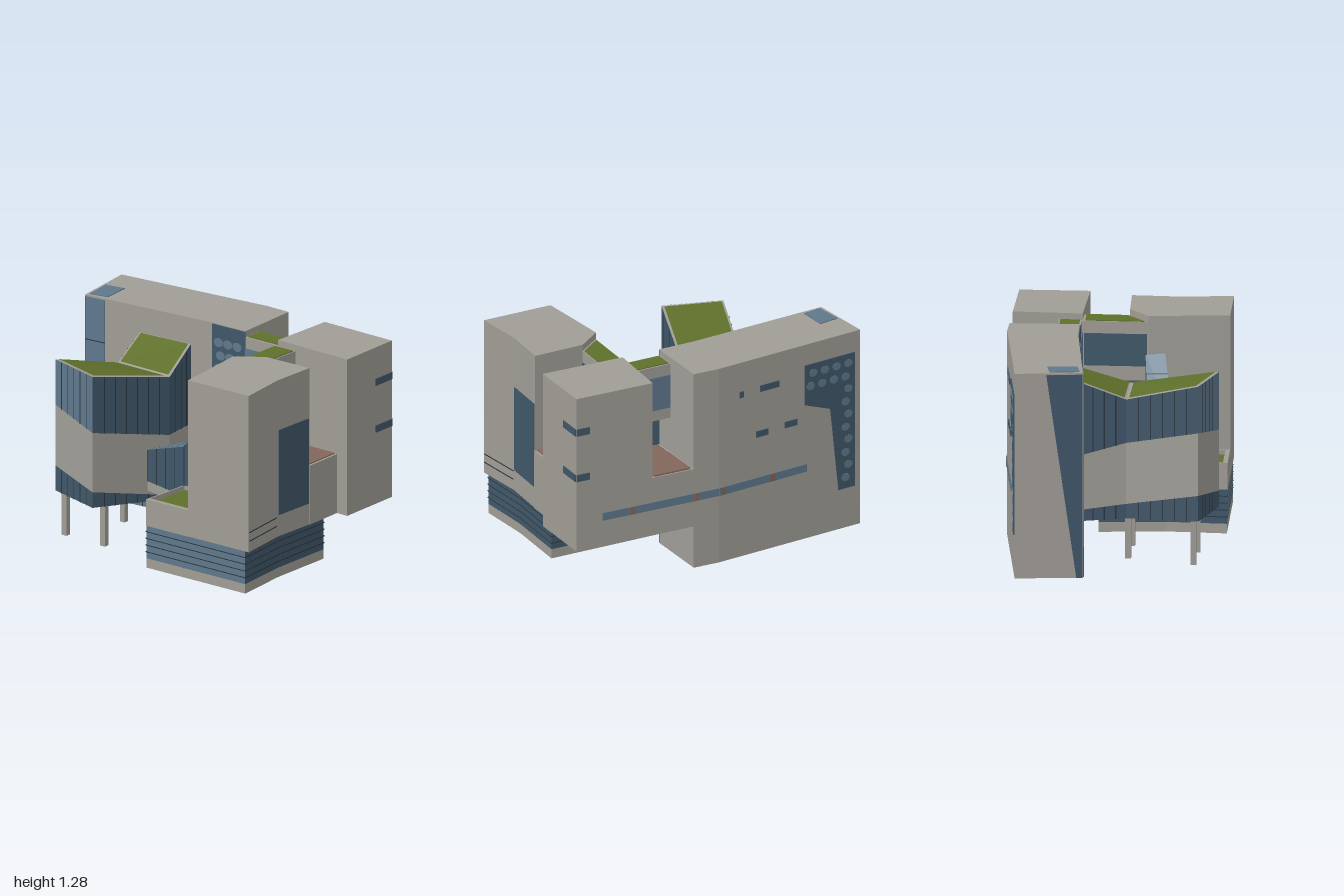
import * as THREE from 'three';

const mat = (name, color) => new THREE.MeshStandardMaterial({ name, color, side: THREE.DoubleSide });

export function createModel() {
  const root = new THREE.Group();
  root.name = 'building';
  const concrete = mat('concrete grey', 0xa09d96), light = mat('light glass', 0x5f788c);
  const dark = mat('dark glass', 0x405769), frame = mat('dark frame', 0x2b363e);
  const grass = mat('roof grass', 0x5e6f2a), clay = mat('terracotta', 0x82675a);

  const add = (name, geo, m) => {
    const mesh = new THREE.Mesh(geo, m);
    mesh.name = name;
    root.add(mesh);
    return mesh;
  };
  // Upright solid over a plan outline of [x, z] points
  const prism = (name, plan, y0, y1, m = concrete) => {
    const shape = new THREE.Shape(plan.map(([x, z]) => new THREE.Vector2(x, -z)));
    const geo = new THREE.ExtrudeGeometry(shape, { depth: y1 - y0, bevelEnabled: false });
    add(name, geo.rotateX(-Math.PI / 2).translate(0, y0, 0), m);
  };
  // Flat polygon given by 3D corners
  const face = (name, pts, m) => {
    const pos = [];
    for (let i = 1; i < pts.length - 1; i++) pos.push(...pts[0], ...pts[i], ...pts[i + 1]);
    const geo = new THREE.BufferGeometry();
    geo.setAttribute('position', new THREE.Float32BufferAttribute(pos, 3));
    geo.computeVertexNormals();
    add(name, geo, m);
  };
  // Wall from a to b whose lower and upper edges may slope
  const wall = (name, a, b, lo, hi, m) => face(name, [
    [a[0], lo[0], a[1]], [b[0], lo[1], b[1]], [b[0], hi[1], b[1]], [a[0], hi[0], a[1]]], m);
  const ringWall = (name, plan, y0, y1, m) => plan.forEach((a, i) =>
    wall(name, a, plan[(i + 1) % plan.length], [y0, y0], [y1, y1], Array.isArray(m) ? m[i] : m));
  // Thin plate on the wall a-b (left to right from outside); corners are [x or z, y]
  const panel = (name, a, b, pts, m, depth = 0.006) => {
    const dx = b[0] - a[0], dz = b[1] - a[1], L = Math.hypot(dx, dz);
    const k = Math.abs(dx) > Math.abs(dz) ? 0 : 1;
    const shape = new THREE.Shape(pts.map(([u, y]) =>
      new THREE.Vector2((u - a[k]) / (b[k] - a[k]) * L, y)));
    const mesh = add(name, new THREE.ExtrudeGeometry(shape, { depth, bevelEnabled: false }), m);
    mesh.position.set(a[0], 0, a[1]);
    mesh.rotation.y = Math.atan2(-dz, dx);
  };
  const rect = (u0, u1, y0, y1) => [[u0, y0], [u1, y0], [u1, y1], [u0, y1]];
  const blob = (u, y, r) => Array.from({ length: 12 }, (_, i) =>
    [u + r * Math.cos(i * Math.PI / 6), y + r * 0.85 * Math.sin(i * Math.PI / 6)]);
  const lerp = (a, b, t) => a + (b - a) * t;
  const mix = (a, b, t) => a.map((v, i) => lerp(v, b[i], t));
  const inset = (pts, k) => {
    const c = pts[0].map((_, j) => pts.reduce((s, p) => s + p[j], 0) / pts.length);
    return pts.map(p => mix(p, c, k));
  };

  // Long rear slab
  const f0 = [-0.96, -0.16], f1 = [-0.05, -0.232], f2 = [0.2, -0.235];
  const b0 = [-1, -0.57], b1 = [0.03, -0.665], b2 = [1, -0.64];
  prism('rearSlab', [b0, b1, [0.2, -0.66], f2, f1, f0], 0, 1.275);
  panel('cornerGlassFront', f0, f1, rect(-0.957, -0.82, 0.19, 1.265), light);
  panel('cornerGlassEnd', b0, f0, [[-0.2, 0], [-0.163, 0], [-0.163, 1.265], [-0.38, 1.265]], dark);
  prism('cornerGlassRoof', [[-0.96, -0.36], [-0.83, -0.38], [-0.82, -0.2], [-0.94, -0.18]], 1.275, 1.28, light);
  for (const y of [0.45, 0.72, 0.99]) panel('cornerMullion', f0, f1, rect(-0.957, -0.82, y, y + 0.006), frame, 0.008);

  // Street-level shopfront
  panel('shopGlassDark', f0, f1, rect(-0.95, -0.82, 0, 0.19), dark, 0.008);
  panel('shopDoor', f0, f1, rect(-0.815, -0.64, 0, 0.185), clay);
  panel('shopGlass', f0, f1, rect(-0.63, -0.05, 0, 0.185), light);
  for (let x = -0.55; x < -0.08; x += 0.08) panel('shopMullion', f0, f1, rect(x, x + 0.006, 0, 0.185), frame, 0.008);

  // Dotted glass column on the front
  panel('columnGlass', f1, f2, rect(-0.048, 0.198, 0, 1.27), dark);
  for (let i = 0; i < 11; i++)
    for (const x of [0, 0.07, 0.14])
      panel('glassDot', f1, f2, blob(x + (i % 2) * 0.015, 1.16 - i * 0.083, 0.034), light, 0.008);

  // Rear windows
  panel('rearGlass', b1, b0, [[-0.595, 1.14], [-0.96, 1.14], [-0.96, 0.26], [-0.84, 0.26], [-0.78, 0.81], [-0.595, 0.88]], dark);
  for (let i = 0; i < 10; i++)
    for (let x = -0.91; x < -0.63; x += 0.085) {
      const y = 1.08 - i * 0.083;
      if (y > 0.92 || x < -0.87) panel('rearDot', b1, b0, blob(x + (i % 2) * 0.02, y, 0.03), light, 0.008);
    }
  panel('ribbonWindow', b2, b1, rect(0.82, 0.03, 0.44, 0.49), light);
  panel('ribbonWindow', b1, b0, rect(0.03, -0.61, 0.44, 0.49), light);
  panel('ribbonDivider', b2, b1, rect(0.64, 0.605, 0.44, 0.49), clay, 0.008);
  panel('ribbonDivider', b2, b1, rect(0.2, 0.165, 0.44, 0.49), clay, 0.008);
  for (const x of [0, -0.36]) panel('ribbonDivider', b1, b0, rect(x + 0.018, x - 0.018, 0.44, 0.49), clay, 0.008);
  for (const [x0, x1, y] of [[-0.12, -0.15, 1.065], [-0.27, -0.41, 1.07], [-0.24, -0.33, 0.775], [-0.45, -0.54, 0.785]])
    panel('smallWindow', b1, b0, rect(x0, x1, y - 0.02, y + 0.02), dark);

  // Right rear block over the cut-out, with corner windows
  const r0 = [0.99, -0.21];
  prism('rightBlock', [[0.48, -0.654], b2, r0, [0.45, -0.23]], 0.272, 1.275);
  for (const y of [0.73, 1.03]) {
    panel('sideWindow', r0, b2, rect(-0.48, -0.638, y, y + 0.045), dark);
    panel('sideWindowReturn', b2, b1, rect(0.999, 0.91, y, y + 0.045), dark);
  }

  // Open terrace and high bridge between the two rear blocks
  prism('gapBase', [[0.2, -0.66], [0.48, -0.654], [0.45, -0.235], f2], 0.272, 0.65);
  prism('gapPaving', [[0.215, -0.65], [0.465, -0.645], [0.45, -0.25], [0.215, -0.25]], 0.65, 0.656, clay);
  prism('highBridge', [[0.2, -0.375], [0.465, -0.375], [0.45, -0.235], f2], 0.88, 1.235);
  prism('highBridgeGrass', [[0.21, -0.365], [0.447, -0.365], [0.44, -0.247], [0.21, -0.247]], 1.235, 1.24, grass);
  prism('bridgePaving', [[0.215, -0.645], [0.47, -0.645], [0.455, -0.38], [0.215, -0.38]], 0.656, 0.659, clay);
  panel('highBridgeGlass', f2, [0.45, -0.235], rect(0.2, 0.45, 0.95, 1.165), light);
  panel('highBridgeRearGlass', [0.465, -0.375], [0.2, -0.375], rect(0.46, 0.205, 0.95, 1.165), light);

  // Front tower
  const t1 = [0.88, 0.34], t2 = [0.9, 0.045];
  prism('frontTower', [[0.45, 0.66], [0.91, 0.66], t1, t2, [0.57, 0.05], [0.41, 0.17]], 0.4, 1.275);
  panel('towerWindow', t1, t2, rect(0.328, 0.055, 0.41, 0.955), dark);

  // Link between tower and right block, above a paved terrace
  prism('terraceBase', [[0.43, -0.23], [0.91, -0.22], [0.905, 0.05], [0.43, 0.05]], 0.272, 0.65);
  prism('terracePaving', [[0.55, -0.22], [0.895, -0.21], [0.89, 0.045], [0.55, 0.045]], 0.65, 0.656, clay);
  const l0 = [0.57, 0.05], l1 = [0.585, -0.23], l2 = [0.43, -0.23], l3 = [0.415, 0.165];
  prism('link', [l0, l1, l2, l3], 0.87, 1.235);
  prism('linkGrass', inset([l0, l1, l2, l3], 0.1), 1.235, 1.24, grass);
  panel('linkGlass', l0, l1, rect(0.045, -0.205, 0.96, 1.16), dark);
  panel('linkGlassLeft', l2, l3, rect(-0.22, 0.16, 0.96, 1.16), dark);
  prism('linkDoors', [[0.53, 0.06], [0.54, -0.23], [0.45, -0.23], [0.44, 0.14]], 0.4, 0.87, dark);
  for (const z of [0.02, -0.06, -0.14])
    panel('doorFrame', [0.53, 0.06], [0.54, -0.23], rect(z, z - 0.012, 0.65, 0.87), frame);

  // Podium: open glazed base, upper band and grass roof
  const base = [[0.13, 0.655], [0.88, 0.655], [0.86, 0.3], [0.88, -0.12], [0.13, -0.12], [0.16, 0.28]];
  ringWall('podiumPlinth', base, 0, 0.06, concrete);
  ringWall('podiumGlass', base, 0.06, 0.273, [light, dark, dark, dark, dark, dark]);
  for (const y of [0.1, 0.143, 0.186, 0.229]) ringWall('podiumRib', inset(base, -0.012), y, y + 0.006, frame);
  prism('podiumBand', [[0.45, 0.66], [0.91, 0.66], t1, [0.9, 0.05], [0.43, 0.05], [0.42, 0.17]], 0.272, 0.4);
  const lawn = [[0.13, 0.66], [0.45, 0.66], [0.42, 0.17], [0.44, -0.12], [0.13, -0.12], [0.165, 0.28]];
  ringWall('podiumParapet', lawn, 0.27, 0.44, concrete);
  ringWall('parapetInner', inset(lawn, 0.07), 0.4, 0.44, concrete);
  lawn.forEach((a, i) => {
    const j = (i + 1) % lawn.length, q = inset(lawn, 0.07);
    face('parapetTop', [a, lawn[j], q[j], q[i]].map(([x, z]) => [x, 0.44, z]), concrete);
  });
  prism('podiumGrass', inset(lawn, 0.02), 0.405, 0.412, grass);
  for (const y of [0.34, 0.395])
    panel('bandLine', [0.91, 0.66], t1, rect(0.655, 0.345, y, y + 0.005), frame, 0.004);

  // Sloping glass walkway from pod to tower: [back, front, bottom, top] stations
  const walk = [[[-0.13, 0.13], [-0.175, 0.25], 0.31, 0.57], [[0.155, 0.18], [0.165, 0.33], 0.31, 0.69], [[0.415, 0.15], [0.415, 0.27], 0.4, 1.04]];
  for (let i = 0; i < 2; i++) {
    const [pb, pf, pl, ph] = walk[i], [qb, qf, ql, qh] = walk[i + 1];
    const sill = i ? [0.44, 0.44] : [0.37, 0.37];
    wall('walkwaySill', pf, qf, [pl, ql], sill, concrete);
    wall('walkwaySillBack', qb, pb, [ql, pl], sill, concrete);
    wall('walkwayGlass', pf, qf, sill, [ph, qh], dark);
    wall('walkwayGlassBack', qb, pb, sill, [qh, ph], dark);
    const at = (p, y) => [p[0], y, p[1]];
    face('walkwayRoof', [at(pf, ph), at(qf, qh), at(qb, qh), at(pb, ph)], light);
    face('walkwayFloor', [at(pf, pl), at(pb, pl), at(qb, ql), at(qf, ql)], concrete);
    for (let t = 0; t < 0.99; t += i ? 0.34 : 0.25) {
      const u = t + 0.022, y = lerp(ph, qh, t), v = lerp(ph, qh, u), out = ([x, z]) => [x, z + 0.004];
      wall('walkwayMullion', out(mix(pf, qf, t)), out(mix(pf, qf, u)), [sill[0], sill[0]], [y, v], frame);
      face('walkwayRoofBar', [at(mix(pf, qf, t), y + 0.004), at(mix(pf, qf, u), v + 0.004),
        at(mix(pb, qb, u), v + 0.004), at(mix(pb, qb, t), y + 0.004)], frame);
    }
  }

  // Angular pod on stilts: [x, z, soffit, lower band, upper band, roof]
  const pod = [[-0.665, 0.52, 0.28, 0.44, 0.83, 1.12], [-0.3, 0.63, 0.28, 0.38, 0.76, 1.12], [-0.13, 0.09, 0.22, 0.245, 0.63, 1],
    [-0.2, -0.215, 0.22, 0.245, 0.6, 1.11], [-0.57, -0.19, 0.25, 0.32, 0.66, 1.11], [-0.53, 0.08, 0.26, 0.35, 0.73, 1]];
  const bars = [5, 6, 3, 0, 3, 5];
  pod.forEach((p, i) => {
    const q = pod[(i + 1) % 6], bands = [dark, concrete, i ? dark : light];
    bands.forEach((m, k) => wall(['podLowerGlass', 'podWall', 'podUpperGlass'][k], p, q,
      [p[2 + k], q[2 + k]], [p[3 + k], q[3 + k]], m));
    const L = Math.hypot(q[0] - p[0], q[1] - p[1]);
    const nx = -(q[1] - p[1]) / L * 0.004, nz = (q[0] - p[0]) / L * 0.004;
    for (let j = 1; j <= bars[i]; j++) {
      const a = mix(p, q, j / (bars[i] + 1)), b = mix(p, q, j / (bars[i] + 1) + 0.008 / L);
      for (const k of [2, 4])
        wall('podMullion', [a[0] + nx, a[1] + nz], [b[0] + nx, b[1] + nz], [a[k], b[k]], [a[k + 1], b[k + 1]], frame);
    }
  });
  face('podSoffit', pod.map(p => [p[0], p[2], p[1]]).reverse(), concrete);
  for (const ids of [[0, 1, 2, 5], [5, 2, 3, 4]]) {
    const quad = ids.map(i => [pod[i][0], pod[i][5], pod[i][1]]);
    face('podRoofRim', quad, concrete);
    face('podGrass', inset(quad, 0.07).map(([x, y, z]) => [x, y + 0.006, z]), grass);
  }
  for (const [x, z] of [[-0.61, 0.49], [-0.31, 0.5], [-0.18, 0.1], [-0.475, 0.09]])
    add('stilt', new THREE.BoxGeometry(0.035, 0.27, 0.035).translate(x, 0.135, z), concrete);

  return root;
}
